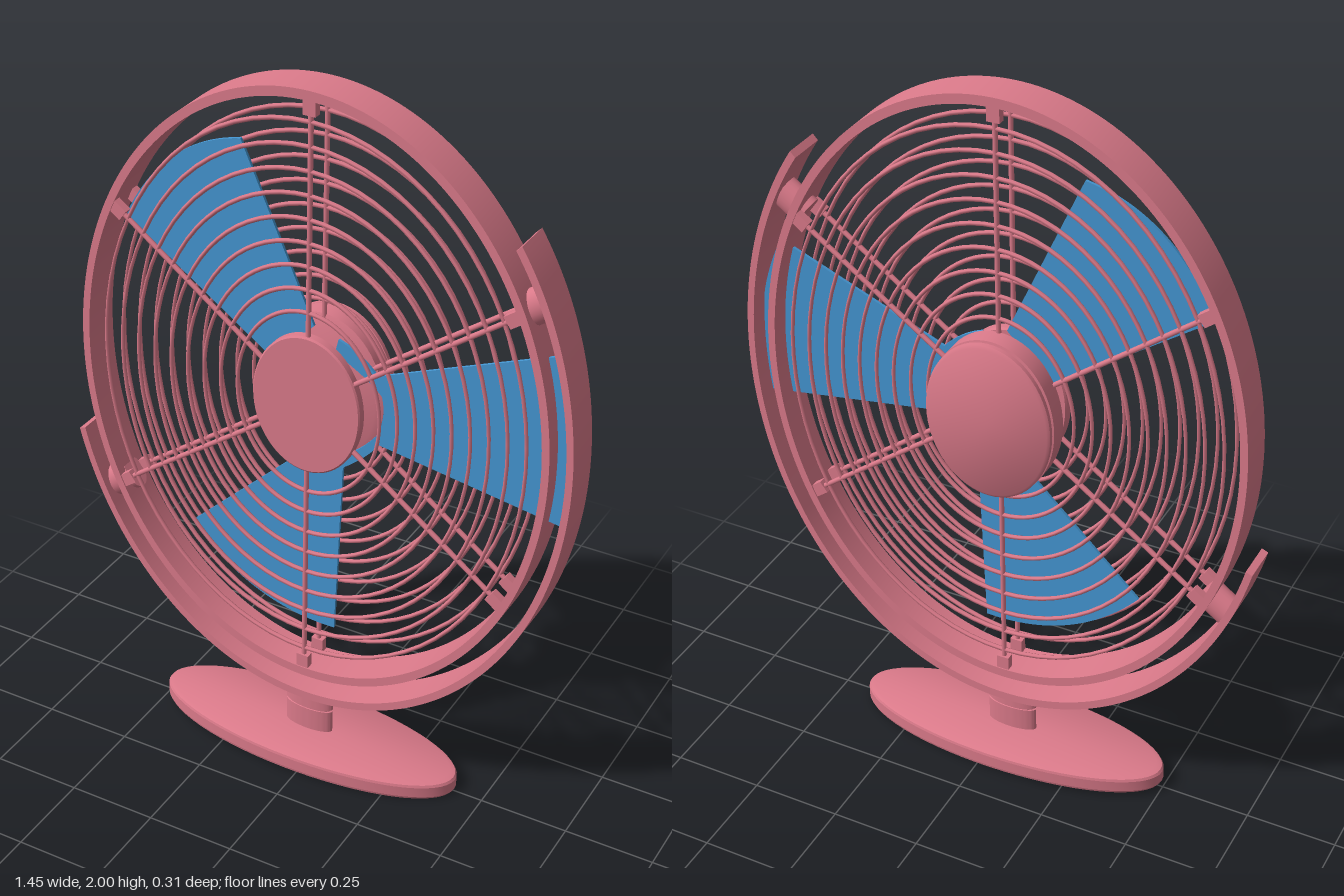
import * as THREE from 'three';
import { toCreasedNormals } from 'three/addons/utils/BufferGeometryUtils.js';

const SQUASH = 0.782; // width to height ratio of the oval head
const TILT = 0.016;   // slight sideways lean of the whole fan

export function createModel() {
  const pink = new THREE.MeshStandardMaterial({ color: 0xdb7a8a });
  pink.name = 'pinkBody';
  const blue = new THREE.MeshStandardMaterial({ color: 0x4496d2, side: THREE.DoubleSide });
  blue.name = 'blueBlades';

  const root = new THREE.Group();
  root.name = 'deskFan';
  const fan = new THREE.Group();
  fan.name = 'fan';
  fan.position.x = -0.04;
  fan.rotation.z = -TILT;
  root.add(fan);

  const add = (parent, name, geometry, material = pink) => {
    const mesh = new THREE.Mesh(geometry, material);
    mesh.name = name;
    parent.add(mesh);
    return mesh;
  };
  const extrude = (shape, z0, z1) => {
    const g = new THREE.ExtrudeGeometry(shape, { depth: z1 - z0, bevelEnabled: false, curveSegments: 96 });
    return toCreasedNormals(g.translate(0, 0, z0), 0.5);
  };
  const lathe = (points) => toCreasedNormals(
    new THREE.LatheGeometry(points.map(([x, y]) => new THREE.Vector2(x, y)), 64), 0.6);

  // Oval base, hollow underneath, with a small central socket
  const base = add(fan, 'base', lathe([
    [0.0, 0.025], [0.06, 0.025], [0.06, 0.012], [0.09, 0.012], [0.09, 0.03], [0.43, 0.03],
    [0.435, 0.007], [0.452, 0.007], [0.457, 0.014], [0.457, 0.046], [0.452, 0.053], [0.435, 0.057], [0, 0.057],
  ]));
  base.scale.z = 0.335;

  // Two-piece oval stem
  const stem = add(fan, 'stem', lathe([
    [0, 0.05], [0.072, 0.05], [0.072, 0.126], [0.066, 0.127], [0.066, 0.132],
    [0.073, 0.133], [0.073, 0.192], [0, 0.192],
  ]));
  stem.scale.z = 0.33;

  const head = new THREE.Group();
  head.name = 'head';
  head.position.y = 1.13;
  fan.add(head);

  // Closed outer hoop
  const hoop = new THREE.Shape().absellipse(0, 0, 0.866 * SQUASH, 0.866, 0, Math.PI * 2);
  hoop.holes.push(new THREE.Path().absellipse(0, 0, 0.84 * SQUASH, 0.84, 0, Math.PI * 2));
  add(head, 'outerHoop', extrude(hoop, -0.06, 0.05));

  // Open cradle running under the hoop
  const a0 = -2.83, a1 = 0.7;
  const cradle = new THREE.Shape();
  cradle.absellipse(0, 0, 0.946 * SQUASH, 0.946, a0, a1, false);
  cradle.absellipse(0, 0, 0.922 * SQUASH, 0.922, a1, a0, true);
  cradle.closePath();
  add(head, 'cradle', extrude(cradle, -0.06, 0.05));

  // Point on a scaled oval
  const oval = (r, a, z) => new THREE.Vector3(Math.cos(a) * r * SQUASH, Math.sin(a) * r, z);

  // Front and back grilles: ring wires, spokes and end clips
  for (const [side, z] of [['front', 0.036], ['back', -0.046]]) {
    const grille = new THREE.Group();
    grille.name = side + 'Grille';
    head.add(grille);
    for (let i = 0; i < 9; i++) {
      const ring = add(grille, 'ringWire', new THREE.TorusGeometry(0.265 + i * 0.0645, 0.0065, 6, 72));
      ring.scale.x = SQUASH;
      ring.position.z = z;
    }
    for (let i = 0; i < 6; i++) {
      const a = Math.PI / 6 + i * Math.PI / 3;
      const path = new THREE.LineCurve3(oval(0.15, a, z), oval(0.83, a, z));
      add(grille, 'spoke', new THREE.TubeGeometry(path, 1, 0.007, 8));
      const clip = add(grille, 'spokeClip', new THREE.BoxGeometry(0.045, 0.035, 0.022));
      clip.position.copy(oval(0.823, a, z));
      clip.rotation.z = Math.atan2(clip.position.y, clip.position.x);
    }
  }

  // Pivots joining hoop and cradle
  for (const a of [Math.PI / 6, Math.PI * 7 / 6]) {
    const pivot = add(head, 'pivot', new THREE.CylinderGeometry(0.046, 0.046, 0.082, 24));
    pivot.position.copy(oval(0.88, a, -0.005));
    pivot.rotation.z = Math.atan2(pivot.position.y, pivot.position.x) - Math.PI / 2;
    pivot.scale.z = 0.75;
  }

  // Hub disc, motor drum and shaft; profiles run from back to front
  const turned = (name, points) => {
    const mesh = add(head, name, lathe(points).rotateX(Math.PI / 2));
    mesh.scale.x = SQUASH;
  };
  turned('frontHub', [[0, 0.018], [0.195, 0.018], [0.2, 0.023], [0.2, 0.043], [0.195, 0.047], [0, 0.047]]);
  turned('motorDrum', [
    [0, -0.122], [0.215, -0.122], [0.224, -0.116], [0.224, -0.104], [0.217, -0.102],
    [0.217, -0.098], [0.226, -0.096], [0.226, -0.045], [0.2, -0.035], [0, -0.035],
  ]);
  turned('shaft', [[0, -0.04], [0.11, -0.04], [0.11, 0.02], [0, 0.02]]);

  // Three thin blades: straight sides, rounded tip, notched root where needed
  const blades = [
    { root: [[0.11, -0.18], [0.19, -0.085], [0.205, 0.02], [0.185, 0.12], [0.1, 0.175], [0.165, 0.115]],
      start: [0.713, -0.168], bend: [0.765, 0.08], end: [0.655, 0.306], notch: true },
    { root: [[0.0, 0.21], [-0.125, 0.085]], start: [-0.553, 0.388], bend: [-0.43, 0.635], end: [-0.205, 0.677] },
    { root: [[-0.03, -0.17], [0.085, -0.187]], start: [0.06, -0.71], bend: [-0.2, -0.72], end: [-0.384, -0.505] },
  ];
  for (const { root: r, start, bend, end, notch } of blades) {
    const s = new THREE.Shape();
    if (notch) {
      s.moveTo(0.07, -0.195);
      s.quadraticCurveTo(0.14, -0.15, 0.19, -0.085);
      s.lineTo(...start);
      s.quadraticCurveTo(...bend, ...end);
      s.lineTo(0.18, 0.115);
      s.quadraticCurveTo(0.13, 0.17, 0.07, 0.19);
      s.lineTo(0.06, 0.15);
      s.quadraticCurveTo(0.16, 0.1, 0.195, 0.06);
      s.quadraticCurveTo(0.21, 0, 0.18, -0.06);
      s.quadraticCurveTo(0.12, -0.14, 0.05, -0.16);
    } else {
      s.moveTo(...r[0]);
      if (start[0] < 0) {
        s.lineTo(...end);
        s.quadraticCurveTo(...bend, ...start);
        s.lineTo(...r[1]);
      } else {
        s.lineTo(...end);
        s.quadraticCurveTo(...bend, ...start);
        s.lineTo(...r[1]);
      }
    }
    s.closePath();
    const blade = add(head, 'blade', extrude(s, -0.007, 0.001), blue);
    blade.rotation.z = TILT;
  }
  return root;
}
